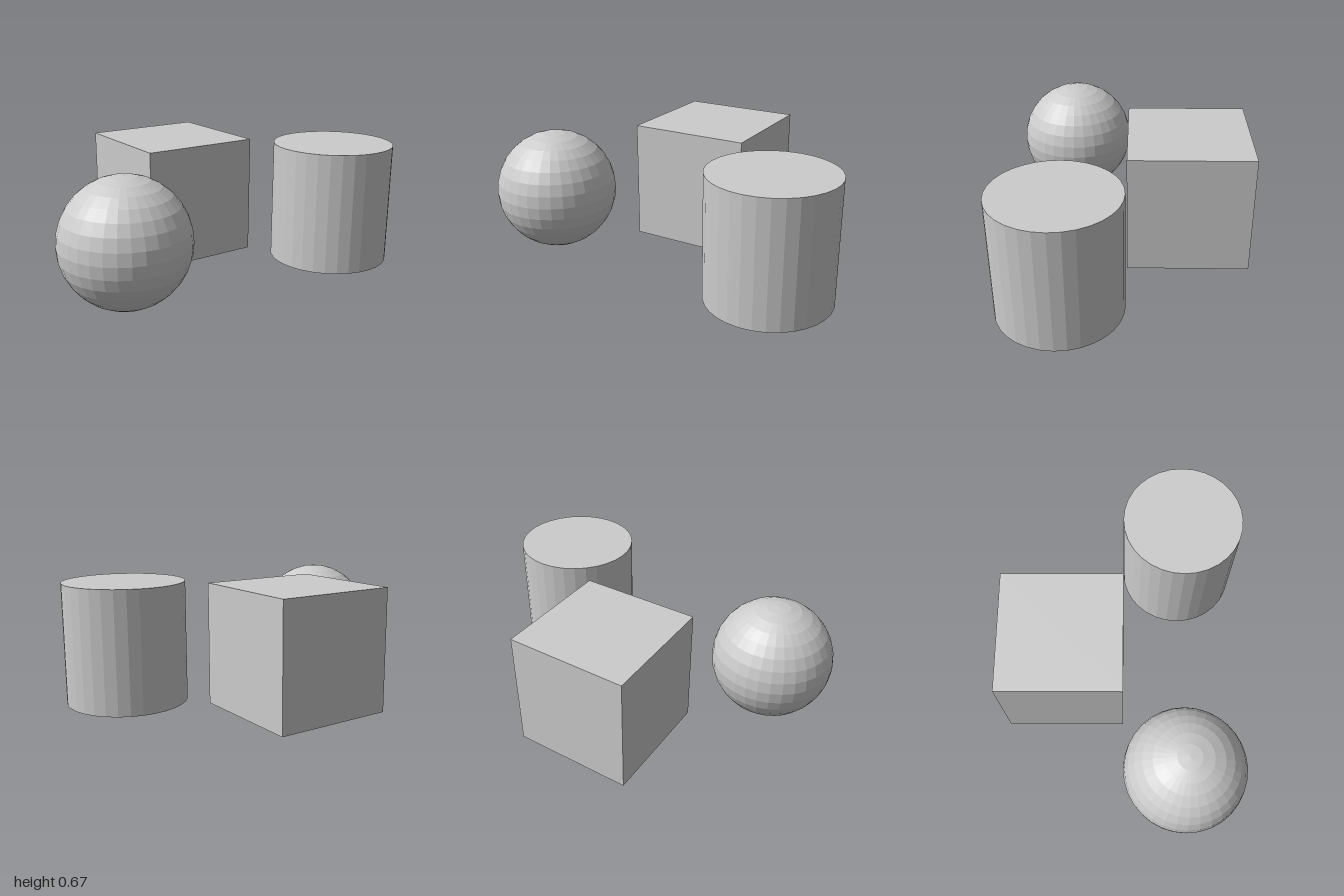
import * as THREE from 'three';

const SIZE = 2 / 3; // every solid is this wide, deep and tall
const R = SIZE / 2;

export function createModel() {
  const group = new THREE.Group();
  const grey = new THREE.MeshStandardMaterial({ color: 0xcccccc, flatShading: true });
  grey.name = 'light grey';

  // Each solid rests on the ground
  const add = (name, geometry, x, z) => {
    const mesh = new THREE.Mesh(geometry, grey);
    mesh.name = name;
    mesh.position.set(x, R, z);
    group.add(mesh);
  };

  add('cube', new THREE.BoxGeometry(SIZE, SIZE, SIZE), 0, -R);
  add('sphere', new THREE.SphereGeometry(R, 32, 16), -SIZE, R);
  add('cylinder', new THREE.CylinderGeometry(R, R, SIZE, 32), SIZE, R);

  return group;
}
